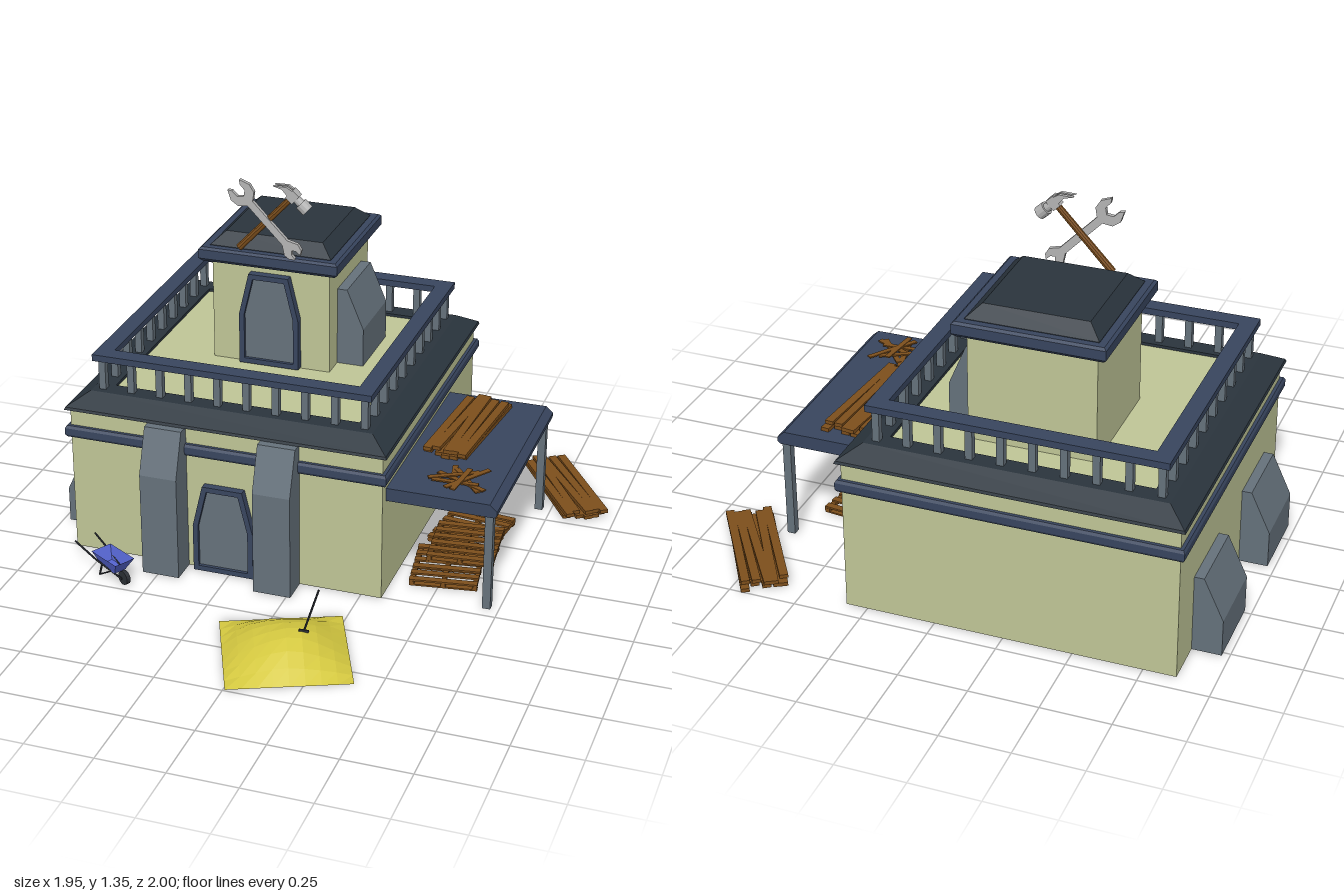
import * as THREE from 'three';

const mat = (color) => new THREE.MeshStandardMaterial({ color, flatShading: true, side: THREE.DoubleSide });
const M = {
  wall: mat(0xbfc596), blue: mat(0x38455e), dark: mat(0x2a343d), grey: mat(0x65717b), wood: mat(0x7d4f1c),
  sand: mat(0xd4c840), barrow: mat(0x5564d0), iron: mat(0x2c3036), steel: mat(0xb4b4b4),
};

function add(parent, name, geo, material, x = 0, y = 0, z = 0, ry = 0) {
  const m = new THREE.Mesh(geo, material);
  m.name = name;
  m.position.set(x, y, z);
  m.rotation.y = ry;
  parent.add(m);
  return m;
}
function group(parent, name, x, y, z, ry = 0) {
  const g = new THREE.Group();
  g.name = name;
  g.position.set(x, y, z);
  g.rotation.y = ry;
  parent.add(g);
  return g;
}
const box = (w, h, d) => new THREE.BoxGeometry(w, h, d);
const shapeOf = (pts) => new THREE.Shape(pts.map(([x, y]) => new THREE.Vector2(x, y)));

// Profile of [half width, height] swept round a square
const square = (pts) => new THREE.LatheGeometry(
  pts.map(([r, y]) => new THREE.Vector2(r * Math.SQRT2, y)), 4, Math.PI / 4);

// Profile extruded and centred on its depth
function slab(pts, depth, hole) {
  const s = shapeOf(pts);
  if (hole) s.holes.push(shapeOf(hole));
  return new THREE.ExtrudeGeometry(s, { depth, bevelEnabled: false }).translate(0, 0, -depth / 2);
}

// Round bar between two points
function bar(parent, name, a, b, r, material, sides = 8) {
  const p = new THREE.Vector3(...a), q = new THREE.Vector3(...b);
  return add(parent, name, new THREE.TubeGeometry(new THREE.LineCurve3(p, q), 1, r, sides), material);
}

// Tapered doorway: frame and recessed panel
function doorway(parent, name, x, y, z, h) {
  const g = group(parent, name, x, y, z);
  const outline = (i) => [[-0.116 + i, i], [0.116 - i, i], [0.116 - i, h - 0.165], [0.077 - i * 0.8, h - i],
    [-0.077 + i * 0.8, h - i], [-0.116 + i, h - 0.165]];
  add(g, 'doorFrame', slab(outline(0), 0.045, outline(0.02)), M.blue);
  add(g, 'doorPanel', slab(outline(0.02), 0.02), M.grey);
}

// Stack of long planks, slightly uneven
function plankStack(parent, x, y, z, ry, layers) {
  const g = group(parent, 'plankStack', x, y, z, ry);
  for (let l = 0; l < layers; l++) {
    for (let i = 0; i < 5; i++) {
      const k = i + l * 3;
      add(g, 'plank', box(0.031, 0.014, 0.46 + 0.012 * ((k * 7) % 3)), M.wood,
        (i - 2) * 0.034, 0.009 + l * 0.017, 0.008 * ((k * 5) % 4 - 1.5), 0.02 * ((k * 3) % 4 - 1.5));
    }
  }
}

// Slatted pallet on three bearers
function pallet(parent, x, y, z, ry) {
  const g = group(parent, 'pallet', x, y, z, ry);
  for (let i = -1; i <= 1; i++) {
    add(g, 'bearer', box(0.018, 0.014, 0.27), M.wood, i * 0.115, 0.013, 0);
    add(g, 'bottomSlat', box(0.25, 0.006, 0.022), M.wood, 0, 0.003, i * 0.12);
  }
  for (let i = 0; i < 6; i++) add(g, 'topSlat', box(0.25, 0.007, 0.027), M.wood, 0, 0.023, (i - 2.5) * 0.048);
}

function buildHouse(root) {
  const g = group(root, 'building', -0.27, 0, -0.34);
  add(g, 'walls', square([[0.598, 0.008], [0.598, 0.58]]), M.wall);
  add(g, 'wallBand', square([[0.595, 0.47], [0.61, 0.47], [0.616, 0.48], [0.616, 0.505], [0.61, 0.515], [0.595, 0.515]]), M.blue);
  add(g, 'roofSlope', square([[0.47, 0.58], [0.616, 0.58], [0.612, 0.59], [0.54, 0.636], [0.47, 0.636], [0.47, 0.58]]), M.dark);
  add(g, 'deck', box(0.95, 0.02, 0.95), M.wall, 0, 0.615, 0);

  // Balustrade: ten posts a side under a square handrail
  const rail = group(g, 'balustrade', 0, 0, 0);
  add(rail, 'handrail', square([[0.47, 0.753], [0.533, 0.753], [0.533, 0.778], [0.47, 0.778], [0.47, 0.753]]), M.blue);
  for (let s = 0; s < 4; s++) {
    const side = group(rail, 'railSide', 0, 0, 0, s * Math.PI / 2);
    for (let i = 0; i < 9; i++) add(side, 'baluster', box(0.026, 0.12, 0.026), M.grey, -0.503 + i * 1.006 / 9, 0.694, 0.503);
  }

  // Front and left buttresses
  const tall = [[-0.02, 0.008], [0.105, 0.008], [0.105, 0.41], [0.045, 0.578], [-0.02, 0.578]];
  const low = [[-0.02, 0.008], [0.106, 0.008], [0.106, 0.145], [0.035, 0.298], [-0.02, 0.298]];
  for (const x of [-0.217, 0.216]) add(g, 'frontButtress', slab(tall, 0.142), M.grey, x, 0, 0.598, -Math.PI / 2);
  for (const z of [-0.288, 0.285]) add(g, 'sideButtress', slab(low, 0.285), M.grey, -0.598, 0, z, Math.PI);
  doorway(g, 'frontDoor', 0, 0.01, 0.605, 0.35);

  // Tower
  const t = group(g, 'tower', 0, 0, -0.138);
  add(t, 'towerWalls', square([[0.229, 0.6], [0.229, 1.04]]), M.wall);
  add(t, 'cornice', square([[0, 1.022], [0.258, 1.022], [0.27, 1.035], [0.27, 1.07], [0.26, 1.078], [0, 1.078]]), M.blue);
  add(t, 'towerRoof', square([[0.235, 1.075], [0.235, 1.08], [0.188, 1.124], [0, 1.124]]), M.dark);
  const fin = [[-0.02, 0.62], [0.102, 0.62], [0.102, 0.774], [0.038, 0.926], [-0.02, 0.926]];
  add(t, 'towerButtress', slab(fin, 0.285), M.grey, 0.229, 0, -0.004);
  doorway(t, 'towerDoor', 0, 0.63, 0.238, 0.362);
}

function buildCanopy(root) {
  const g = group(root, 'canopy', 0, 0, -0.196);
  add(g, 'canopyRoof', slab([[0.32, 0.386], [0.725, 0.386], [0.735, 0.395], [0.735, 0.412], [0.708, 0.436], [0.32, 0.436]], 0.823), M.blue);
  for (const s of [-1, 1]) add(g, 'canopyPost', box(0.03, 0.38, 0.03), M.grey, 0.705, 0.198, s * 0.388);
  plankStack(g, 0.48, 0.436, -0.115, -0.075, 2);
  // Loose sticks
  const sticks = group(g, 'looseSticks', 0.56, 0.44, 0.28);
  for (let i = 0; i < 7; i++) {
    add(sticks, 'stick', box(0.02, 0.005, 0.17 + 0.02 * (i % 3)), M.wood,
      0.018 * ((i * 3) % 4 - 1.5), 0.002 * i, 0.016 * ((i * 5) % 4 - 1.5), i * 0.47 + 0.2);
  }
}

function buildSand(root) {
  const g = group(root, 'sandHeap', 0.12, 0.006, 0.705, 0.41);
  const geo = new THREE.PlaneGeometry(0.44, 0.44, 8, 8).rotateX(-Math.PI / 2);
  const p = geo.attributes.position;
  for (let i = 0; i < p.count; i++) {
    const x = p.getX(i) / 0.22, z = p.getZ(i) / 0.22;
    const fall = Math.max(0, 1 - x * x) * Math.max(0, 1 - z * z);
    p.setY(i, 0.096 * Math.pow(fall, 1.15) * (1 + 0.06 * Math.sin(5 * x + 3 * z)));
  }
  add(g, 'sand', geo, M.sand);

  const s = group(root, 'shovel', 0, 0, 0);
  bar(s, 'shovelHandle', [0.18, 0.08, 0.695], [0.228, 0.25, 0.66], 0.004, M.iron, 6);
  const blade = add(s, 'shovelBlade', box(0.035, 0.045, 0.006), M.iron, 0.18, 0.08, 0.695, 0.5);
  blade.rotation.z = -0.27;
}

function buildBarrow(root) {
  const g = group(root, 'wheelbarrow', -0.645, 0, 0.43, -0.52);
  // Open tapered tray
  const tray = new THREE.CylinderGeometry(Math.SQRT1_2, 0.4, 1, 4, 1, true, Math.PI / 4).scale(0.145, 0.05, 0.085);
  add(g, 'tray', tray, M.barrow, 0, 0.075, 0);
  add(g, 'trayFloor', box(0.083, 0.004, 0.05), M.barrow, 0, 0.051, 0);
  add(g, 'wheel', new THREE.CylinderGeometry(0.027, 0.027, 0.016, 14).rotateX(Math.PI / 2), M.iron, 0.066, 0.034, 0);
  for (const s of [-1, 1]) {
    bar(g, 'handle', [0.07, 0.034, s * 0.014], [-0.06, 0.07, s * 0.036], 0.004, M.iron, 6);
    bar(g, 'grip', [-0.06, 0.07, s * 0.036], [-0.17, 0.102, s * 0.045], 0.004, M.iron, 6);
    bar(g, 'leg', [-0.03, 0.055, s * 0.03], [-0.045, 0.01, s * 0.03], 0.004, M.iron, 6);
    bar(g, 'brace', [-0.045, 0.01, s * 0.03], [0.02, 0.05, s * 0.025], 0.003, M.iron, 6);
  }
}

function buildTools(root) {
  // Hammer, leaning right
  const h = group(root, 'hammer', -0.385, 1.09, -0.232);
  h.rotation.z = -0.752;
  add(h, 'hammerHandle', new THREE.CylinderGeometry(0.012, 0.014, 0.32, 10), M.wood, 0, 0.16, 0);
  const across = (r, l) => new THREE.CylinderGeometry(r, r, l, 12).rotateZ(Math.PI / 2);
  add(h, 'hammerNeck', across(0.016, 0.06), M.steel, 0.015, 0.31, 0);
  add(h, 'hammerFace', across(0.024, 0.036), M.steel, 0.056, 0.31, 0);
  add(h, 'hammerEye', box(0.034, 0.042, 0.034), M.steel, 0, 0.31, 0);
  const claw = [[-0.01, 0.328], [-0.04, 0.322], [-0.078, 0.285], [-0.045, 0.302], [-0.01, 0.298]];
  for (const s of [-1, 1]) add(h, 'claw', slab(claw, 0.013), M.steel, 0, 0, s * 0.011);

  // Double-ended spanner, leaning left
  const half = [[0.012, -0.15], [0.014, -0.172], [0.03, -0.16], [0.036, -0.135], [0.014, -0.1], [0.014, 0.09],
    [0.043, 0.112], [0.05, 0.145], [0.032, 0.182], [0.021, 0.168], [0.02, 0.14]];
  const outline = [[0, -0.138], ...half, [0, 0.125], ...half.map(([x, y]) => [-x, y]).reverse()];
  const w = add(root, 'spanner', slab(outline, 0.016), M.steel, -0.272, 1.208, -0.222);
  w.rotation.z = 0.772;
}

export function createModel() {
  const root = new THREE.Group();
  root.name = 'workshop';
  buildHouse(root);
  buildCanopy(root);
  buildSand(root);
  buildBarrow(root);
  buildTools(root);

  // Timber on the ground
  plankStack(root, 0.765, 0.008, -0.755, 0.6, 2);
  pallet(root, 0.5, 0.008, -0.01, 0.15);
  pallet(root, 0.51, 0.008, -0.31, -0.12);
  pallet(root, 0.53, 0.036, -0.15, 0.1);
  return root;
}
